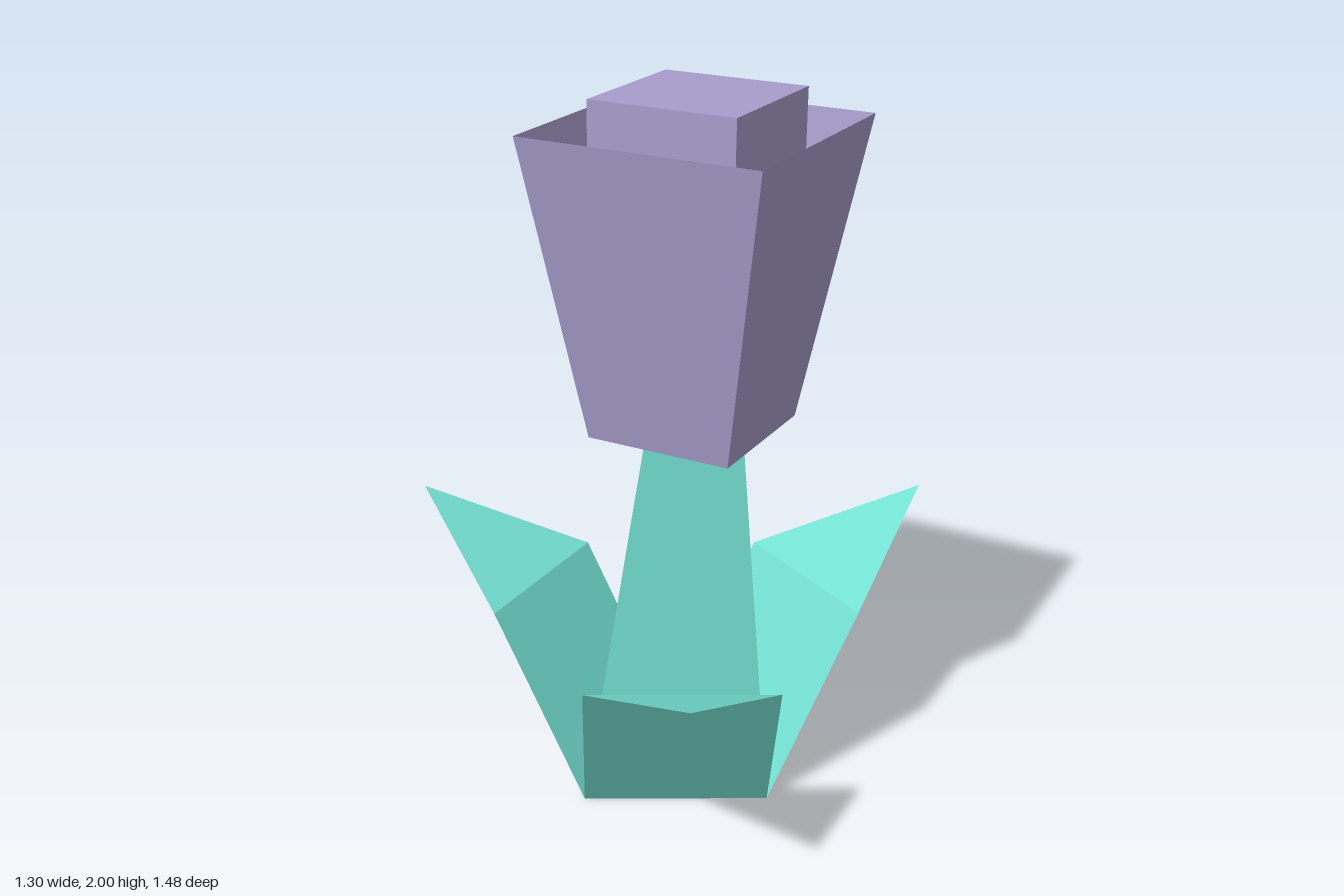
import * as THREE from 'three';

// Give every face its own flat normal
function faceted(geometry) {
  const flat = geometry.index ? geometry.toNonIndexed() : geometry;
  flat.computeVertexNormals();
  return flat;
}

function part(name, geometry, material) {
  const mesh = new THREE.Mesh(faceted(geometry), material);
  mesh.name = name;
  return mesh;
}

export function createModel() {
  const model = new THREE.Group();
  model.name = 'tulip';

  const petalLilac = new THREE.MeshStandardMaterial({ color: 0xa79dcb, side: THREE.DoubleSide });
  petalLilac.name = 'petal lilac';
  const leafTeal = new THREE.MeshStandardMaterial({ color: 0x74e0d2, side: THREE.DoubleSide });
  leafTeal.name = 'leaf teal';

  const baseX = 0.2, budX = 0.242, stemTop = 1.1;

  // Three-sided tapering stem, leaning slightly towards the bud
  const stemGeo = new THREE.CylinderGeometry(0.15, 0.3, stemTop, 3, 1, false, Math.PI / 2);
  stemGeo.translate(0, stemTop / 2, 0);
  const p = stemGeo.attributes.position;
  for (let i = 0; i < p.count; i++) {
    p.setX(i, p.getX(i) + THREE.MathUtils.lerp(baseX, budX, p.getY(i) / stemTop));
  }
  model.add(part('stem', stemGeo, leafTeal));

  // One leaf from each edge of the stem base: a leaning blade and a bent triangular tip
  const leafGeo = new THREE.BufferGeometry();
  leafGeo.setAttribute('position', new THREE.Float32BufferAttribute([
    0.15, 0, 0.26, 0.15, 0, -0.26,
    0.443, 0.52, 0.26, 0.443, 0.52, -0.26,
    0.855, 0.72, 0,
  ], 3));
  leafGeo.setIndex([0, 1, 2, 2, 1, 3, 2, 3, 4]);
  for (let i = 0; i < 3; i++) {
    const leaf = part('leaf' + (i + 1), leafGeo, leafTeal);
    leaf.position.x = baseX;
    leaf.rotation.y = Math.PI / 3 + (i * Math.PI * 2) / 3;
    model.add(leaf);
  }

  // Open flared cup of outer petals
  const cupHeight = 0.82, half = 0.205, rimHalf = 0.337;
  const cup = part('outerPetals', new THREE.CylinderGeometry(
    rimHalf * Math.SQRT2, half * Math.SQRT2, cupHeight, 4, 1, true, Math.PI / 4), petalLilac);
  cup.position.set(budX, stemTop + cupHeight / 2, 0);
  model.add(cup);

  // Square core standing in the cup, closing its bottom
  const coreHeight = 0.9;
  const core = part('innerBud', new THREE.BoxGeometry(half * 2, coreHeight, half * 2), petalLilac);
  core.position.set(budX, stemTop + coreHeight / 2, 0);
  model.add(core);

  return model;
}
